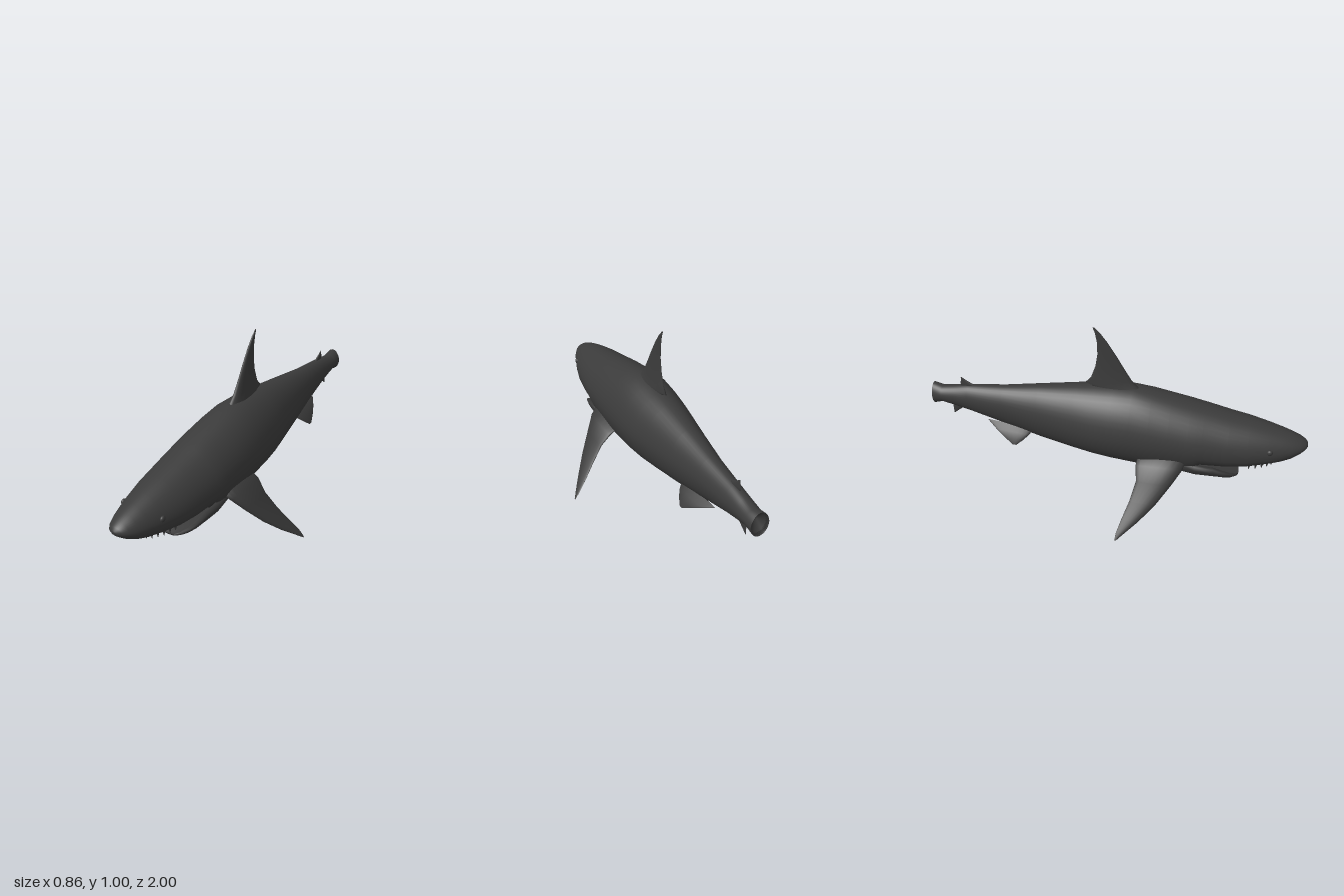
import * as THREE from 'three';

const skin = new THREE.MeshStandardMaterial({ color: 0x3b3b3b });
skin.name = 'dark grey skin';

// Skin a list of closed rings (counter-clockwise about the loft direction) and close both ends
function loft(rings) {
  const n = rings[0].length, pos = [], idx = [];
  rings.forEach(r => r.forEach(p => pos.push(p.x, p.y, p.z)));
  for (let i = 0; i < rings.length - 1; i++) {
    for (let j = 0; j < n; j++) {
      const k = (j + 1) % n, a = i * n + j, b = i * n + k, c = a + n, d = b + n;
      idx.push(a, b, d, a, d, c);
    }
  }
  [0, rings.length - 1].forEach(i => {
    const mid = new THREE.Vector3();
    rings[i].forEach(p => mid.addScaledVector(p, 1 / n));
    const m = pos.length / 3;
    pos.push(mid.x, mid.y, mid.z);
    for (let j = 0; j < n; j++) {
      const a = i * n + j, b = i * n + (j + 1) % n;
      if (i === 0) idx.push(m, b, a); else idx.push(m, a, b);
    }
  });
  const g = new THREE.BufferGeometry();
  g.setAttribute('position', new THREE.Float32BufferAttribute(pos, 3));
  g.setIndex(idx);
  g.computeVertexNormals();
  return g;
}

// Body section: elliptical back, slightly pinched on top, belly roundness set by power
function bodyRing([z, top, mid, bottom, w, power = 1]) {
  return Array.from({ length: 40 }, (_, j) => {
    const a = j / 40 * Math.PI * 2, s = Math.sin(a), c = Math.cos(a);
    const y = s > 0 ? mid + (top - mid) * s : mid - (mid - bottom) * Math.pow(-s, power);
    return new THREE.Vector3(w * c * (s > 0 ? 1 - 0.1 * s : 1), y, z);
  });
}

// Lower jaw section: a scoop with an outer and an inner curve
function jawRing([z, top, bottom, w]) {
  const pts = [], n = 20;
  const arc = (a, sw, sd) => pts.push(new THREE.Vector3(
    w * sw * Math.cos(a), top - (top - bottom) * sd * Math.pow(Math.abs(Math.sin(a)), 0.8), z));
  for (let i = 0; i <= n; i++) arc(Math.PI * (1 + i / n), 1, 1);
  for (let i = n; i >= 0; i--) arc(Math.PI * (1 + i / n), 0.87, 0.65);
  return pts;
}

// Fin from sections of [leading point, trailing point, half thickness], root to tip
function finGeometry(sections, side = 1) {
  const v = p => new THREE.Vector3(p[0] * side, p[1], p[2]);
  const span = v(sections[sections.length - 1][0]).sub(v(sections[0][0]).lerp(v(sections[0][1]), 0.5));
  const rings = sections.map(([l, t, th]) => {
    const lead = v(l), trail = v(t);
    const mid = lead.clone().lerp(trail, 0.5), half = lead.clone().sub(mid);
    const normal = span.clone().cross(half).normalize();
    return Array.from({ length: 20 }, (_, j) => {
      const a = j / 20 * Math.PI * 2;
      return mid.clone().addScaledVector(half, Math.cos(a))
        .addScaledVector(normal, th * Math.sin(a) * (0.8 + 0.35 * Math.cos(a)));
    });
  });
  return loft(rings);
}

export function createModel() {
  const shark = new THREE.Group();
  shark.name = 'shark';
  const add = (name, geometry, parent = shark) => {
    const m = new THREE.Mesh(geometry, skin);
    m.name = name;
    parent.add(m);
    return m;
  };

  // Body from the hollow tail stump to the snout: z, top, mid, bottom, half width, belly power
  add('body', loft([
    [-0.96, 0.51, 0.50, 0.49, 0.01],
    [-0.985, 0.545, 0.495, 0.445, 0.036],
    [-1, 0.558, 0.495, 0.432, 0.046],
    [-0.95, 0.542, 0.495, 0.45, 0.047],
    [-0.88, 0.553, 0.495, 0.43, 0.05],
    [-0.8, 0.567, 0.49, 0.41, 0.055],
    [-0.6, 0.588, 0.48, 0.352, 0.077],
    [-0.4, 0.62, 0.465, 0.302, 0.11],
    [-0.2, 0.65, 0.455, 0.265, 0.146],
    [-0.1, 0.662, 0.45, 0.25, 0.164],
    [0, 0.672, 0.45, 0.24, 0.176],
    [0.1, 0.678, 0.45, 0.232, 0.182],
    [0.2, 0.665, 0.445, 0.226, 0.185],
    [0.3, 0.645, 0.44, 0.224, 0.184],
    [0.4, 0.625, 0.435, 0.226, 0.18],
    [0.44, 0.616, 0.43, 0.235, 0.177],
    [0.47, 0.61, 0.43, 0.3, 0.174, 0.75],
    [0.6, 0.58, 0.425, 0.305, 0.16, 0.7],
    [0.7, 0.562, 0.422, 0.318, 0.146, 0.7],
    [0.8, 0.538, 0.425, 0.342, 0.122, 0.7],
    [0.87, 0.519, 0.43, 0.357, 0.1, 0.75],
    [0.92, 0.503, 0.435, 0.376, 0.082, 0.85],
    [0.96, 0.487, 0.442, 0.402, 0.061],
    [0.985, 0.472, 0.448, 0.424, 0.04],
    [0.997, 0.46, 0.45, 0.438, 0.018],
  ].map(bodyRing)));

  // Open lower jaw: z, top, bottom, half width
  add('lowerJaw', loft([
    [0.34, 0.34, 0.24, 0.15],
    [0.45, 0.34, 0.228, 0.165],
    [0.54, 0.33, 0.229, 0.157],
    [0.6, 0.303, 0.231, 0.141],
    [0.635, 0.282, 0.232, 0.12],
    [0.66, 0.262, 0.232, 0.09],
    [0.673, 0.248, 0.234, 0.06],
  ].map(jawRing)));

  // Upper teeth along the rim of the snout
  const teeth = new THREE.Group();
  teeth.name = 'upperTeeth';
  shark.add(teeth);
  for (let i = -7; i <= 7; i++) {
    const a = i / 7 * 1.4, c = Math.cos(a);
    const cone = new THREE.ConeGeometry(0.01, 0.04, 6);
    cone.rotateX(Math.PI);
    add('tooth', cone, teeth).position.set(0.105 * Math.sin(a), 0.34 + 0.014 * c, 0.69 + 0.17 * c);
  }

  // Dorsal fins and anal fin, from [y, lead z, trail z, half thickness]
  const midFin = (name, rows) =>
    add(name, finGeometry(rows.map(([y, l, t, th]) => [[0, y, l], [0, y, t], th])));
  midFin('dorsalFin', [
    [0.63, 0.17, -0.11, 0.045], [0.664, 0.14, -0.12, 0.036], [0.675, 0.125, -0.152, 0.031],
    [0.71, 0.092, -0.122, 0.024], [0.78, 0.05, -0.098, 0.017], [0.85, 0.01, -0.087, 0.013],
    [0.92, -0.034, -0.089, 0.009], [0.97, -0.071, -0.098, 0.006], [1.0, -0.1, -0.109, 0.002],
  ]);
  midFin('secondDorsalFin', [
    [0.55, -0.74, -0.84, 0.012], [0.575, -0.775, -0.845, 0.008],
    [0.595, -0.81, -0.838, 0.005], [0.612, -0.832, -0.838, 0.001],
  ]);
  midFin('analFin', [
    [0.44, -0.82, -0.9, 0.012], [0.412, -0.85, -0.908, 0.008],
    [0.392, -0.876, -0.907, 0.005], [0.37, -0.902, -0.909, 0.001],
  ]);

  // Paired fins and eyes
  for (const [side, label] of [[1, 'left'], [-1, 'right']]) {
    add(label + 'PectoralFin', finGeometry([
      [[0.12, 0.37, 0.41], [0.12, 0.36, 0.15], 0.045],
      [[0.185, 0.325, 0.388], [0.185, 0.318, 0.148], 0.038],
      [[0.235, 0.255, 0.34], [0.235, 0.255, 0.16], 0.027],
      [[0.3, 0.167, 0.272], [0.3, 0.167, 0.137], 0.02],
      [[0.36, 0.09, 0.195], [0.36, 0.092, 0.108], 0.013],
      [[0.405, 0.036, 0.13], [0.405, 0.04, 0.09], 0.007],
      [[0.43, 0.004, 0.093], [0.43, 0.006, 0.085], 0.002],
    ], side));
    add(label + 'PelvicFin', finGeometry([
      [[0.05, 0.37, -0.43], [0.03, 0.375, -0.7], 0.014],
      [[0.08, 0.34, -0.455], [0.07, 0.345, -0.64], 0.01],
      [[0.1, 0.315, -0.485], [0.095, 0.318, -0.59], 0.007],
      [[0.114, 0.288, -0.52], [0.114, 0.288, -0.54], 0.002],
    ], side));
    const eye = add(label + 'Eye', new THREE.SphereGeometry(0.015, 16, 12));
    eye.position.set(0.113 * side, 0.453, 0.81);
    eye.scale.x = 0.7;
  }
  return shark;
}
